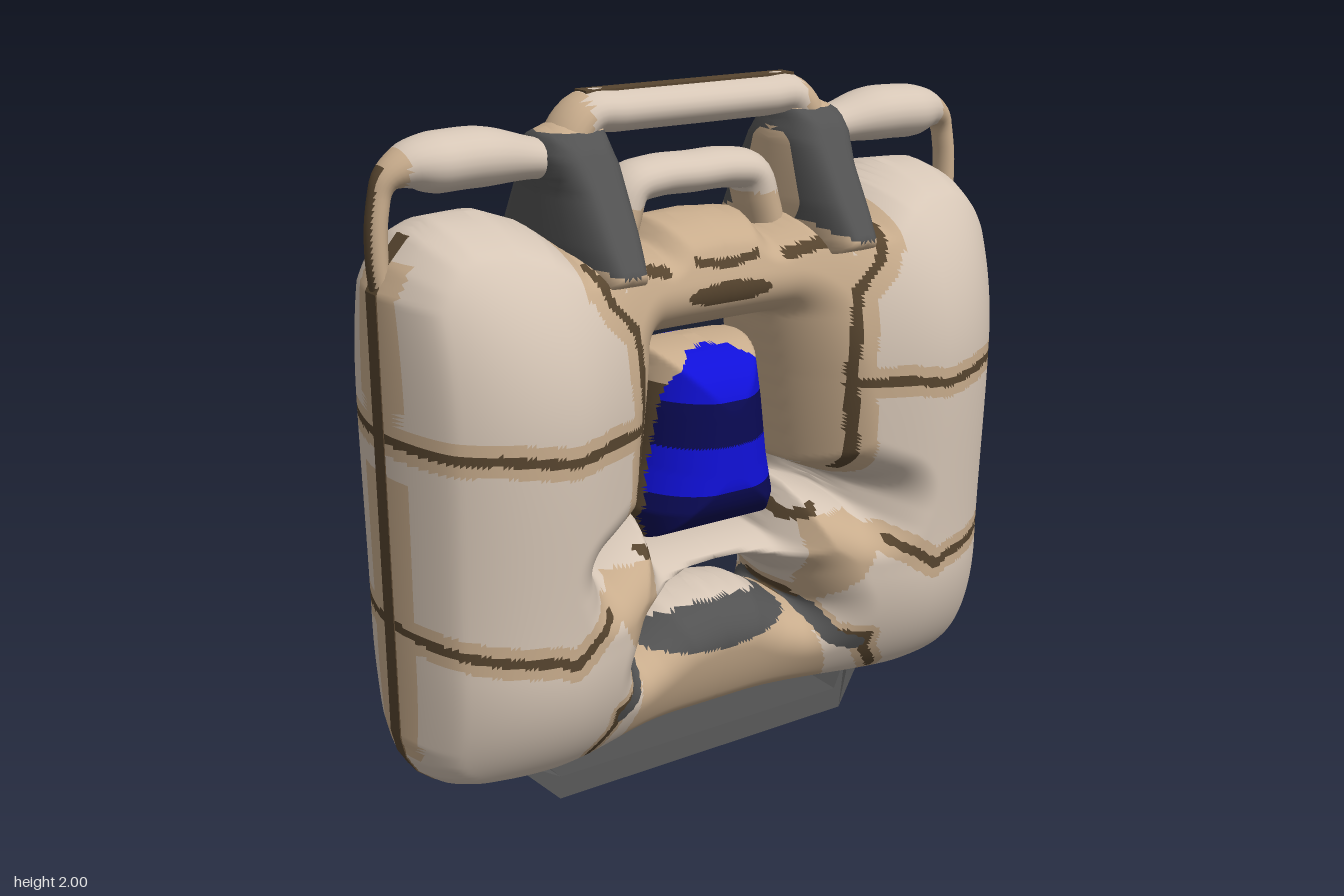
import * as THREE from 'three';
import { mergeVertices } from 'three/addons/utils/BufferGeometryUtils.js';

const palette = [['beige', 0xd6c6b6], ['tan', 0xc8ac8c], ['brown', 0x57452f], ['darkGrey', 0x525252],
  ['blue', 0x1010d8], ['navy', 0x0a0a55]];
const [BEIGE, TAN, BROWN, GREY, BLUE, NAVY] = [0, 1, 2, 3, 4, 5];
const materials = palette.map(([name, color]) => {
  const m = new THREE.MeshStandardMaterial({ color });
  m.name = name;
  return m;
});

// ---- distance helpers ----
function segDist(x, y, [ax, ay], [bx, by]) {
  const dx = bx - ax, dy = by - ay;
  const t = Math.min(1, Math.max(0, ((x - ax) * dx + (y - ay) * dy) / (dx * dx + dy * dy)));
  return Math.hypot(x - ax - dx * t, y - ay - dy * t);
}
function lineDist(x, y, pts) {
  let d = 9;
  for (let i = 1; i < pts.length; i++) d = Math.min(d, segDist(x, y, pts[i - 1], pts[i]));
  return d;
}
// signed distance to a closed polygon, positive inside
function polyDist(x, y, pts) {
  let inside = false;
  for (let i = 0, j = pts.length - 1; i < pts.length; j = i++) {
    const [ax, ay] = pts[i], [bx, by] = pts[j];
    if ((ay > y) !== (by > y) && x < ((bx - ax) * (y - ay)) / (by - ay) + ax) inside = !inside;
  }
  const d = lineDist(x, y, [...pts, pts[0]]);
  return inside ? d : -d;
}
// closes a half outline by mirroring it over x = 0
const mirrored = half => [...half, ...half.filter(p => p[0] > 0).reverse().map(([x, y]) => [-x, y])];
const smooth = THREE.MathUtils.smoothstep;

// ---- mesh helpers ----
// tris: arrays of three [x,y,z]; paint(x,y,z) picks the colour of each face
function paintedMesh(name, tris, paint) {
  const buckets = materials.map(() => []);
  for (const t of tris) {
    const c = [0, 1, 2].map(k => (t[0][k] + t[1][k] + t[2][k]) / 3);
    buckets[paint(...c)].push(...t.flat());
  }
  let geo = new THREE.BufferGeometry();
  geo.setAttribute('position', new THREE.Float32BufferAttribute(buckets.flat(), 3));
  let start = 0;
  buckets.forEach((b, i) => {
    if (b.length) geo.addGroup(start, b.length / 3, i);
    start += b.length / 3;
  });
  geo = mergeVertices(geo, 1e-4);
  geo.computeVertexNormals();
  const mesh = new THREE.Mesh(geo, materials);
  mesh.name = name;
  return mesh;
}
// pillow shape: a flat outline swollen towards +z and -z, rounded over radius r at its rim
function inflate(name, [x0, x1, y0, y1], step, sdf, depth, r, paint) {
  const nx = Math.ceil((x1 - x0) / step), ny = Math.ceil((y1 - y0) / step), grid = [], tris = [];
  for (let j = 0; j <= ny; j++) for (let i = 0; i <= nx; i++) {
    const x = x0 + ((x1 - x0) * i) / nx, y = y0 + ((y1 - y0) * j) / ny, d = sdf(x, y);
    const f = 1 - Math.min(1, Math.max(0, d) / r);
    grid.push({ d, p: [x, y, d > 0 ? depth(x, y) * Math.sqrt(1 - f * f) : 0] });
  }
  const clip = tri => {
    const out = [];
    tri.forEach((a, i) => {
      const b = tri[(i + 1) % 3];
      if (a.d > 0) out.push(a.p);
      if ((a.d > 0) !== (b.d > 0)) {
        const t = a.d / (a.d - b.d);
        out.push([a.p[0] + (b.p[0] - a.p[0]) * t, a.p[1] + (b.p[1] - a.p[1]) * t, 0]);
      }
    });
    for (let k = 2; k < out.length; k++) {
      const t = [out[0], out[k - 1], out[k]];
      tris.push(t, t.map(([x, y, z]) => [x, y, -z]).reverse());
    }
  };
  for (let j = 0; j < ny; j++) for (let i = 0; i < nx; i++) {
    const q = j * (nx + 1) + i, [a, b, c, d] = [q, q + 1, q + nx + 2, q + nx + 1].map(k => grid[k]);
    if (i < nx / 2) { clip([a, b, c]); clip([a, c, d]); } else { clip([a, b, d]); clip([b, c, d]); }
  }
  return paintedMesh(name, tris, paint);
}
// round grip along a path, with a radius rule and a stretch in z
function grip(name, pts, radius, zScale, paint) {
  const curve = new THREE.CatmullRomCurve3(pts.map(([x, y]) => new THREE.Vector3(x, y, 0)), false, 'centripetal');
  const n = 56, m = 24, geo = new THREE.TubeGeometry(curve, n, 1, m), pos = geo.attributes.position;
  const v = new THREE.Vector3();
  for (let i = 0; i < pos.count; i++) {
    const t = Math.floor(i / (m + 1)) / n, c = curve.getPointAt(t);
    v.fromBufferAttribute(pos, i).sub(c).multiplyScalar(radius(t)).add(c);
    pos.setXYZ(i, v.x, v.y, v.z * zScale);
  }
  const p = geo.toNonIndexed().attributes.position, tris = [];
  for (let i = 0; i < p.count; i += 3) tris.push([0, 1, 2].map(k => [p.getX(i + k), p.getY(i + k), p.getZ(i + k)]));
  return paintedMesh(name, tris, paint);
}
// flat outline extruded evenly to both sides of z = 0
function slab(name, pts, half, material) {
  const shape = new THREE.Shape(pts.map(([x, y]) => new THREE.Vector2(x, y)));
  const geo = new THREE.ExtrudeGeometry(shape, { depth: 2 * half, bevelEnabled: false }).translate(0, 0, -half);
  const mesh = new THREE.Mesh(geo, material);
  mesh.name = name;
  return mesh;
}

// ---- outlines ----
const sideRim = [[0.81, 0.13], [0.87, 0.145], [0.92, 0.185], [0.95, 0.235], [0.965, 0.3], [0.965, 1.54], [0.93, 1.61], [0.87, 1.68]];
const bodyOutline = mirrored([[0, 0.13], ...sideRim, [0.8, 1.715], [0.66, 1.72], [0.55, 1.68], [0.47, 1.62],
  [0.28, 1.62], [0.18, 1.585], [0.14, 1.64], [0, 1.65]]);
const windowHole = mirrored([[0, 1.33], [0.21, 1.33], [0.24, 1.15], [0.28, 0.87], [0.455, 0.79], [0.44, 0.75],
  [0.25, 0.835], [0.215, 0.76], [0.19, 0.68], [0, 0.68]]);
const lowerHole = mirrored([[0, 0.61], [0.09, 0.606], [0.17, 0.58], [0.25, 0.525], [0.29, 0.44], [0.25, 0.455],
  [0.15, 0.515], [0, 0.54]]);
const insertOutline = mirrored([[0, 1.285], [0.165, 1.28], [0.19, 1.12], [0.21, 0.95], [0.235, 0.82], [0.2, 0.72], [0, 0.72]]);
const blueOutline = mirrored([[0, 1.276], [0.07, 1.267], [0.12, 1.24], [0.15, 1.2], [0.167, 1.145], [0.187, 1.015],
  [0.205, 0.9], [0.22, 0.8], [0.19, 0.725], [0, 0.725]]);
const strapOutline = [[0.3, 1.5], [0.46, 1.5], [0.475, 1.56], [0.48, 1.62], [0.48, 1.75], [0.495, 1.84], [0.48, 1.9],
  [0.42, 1.925], [0.3, 1.92], [0.275, 1.82], [0.275, 1.65], [0.285, 1.55]];

// ---- body form and seams ----
// the rims of the openings are rounded twice as widely as the outer rim
const bodySdf = (x, y) => Math.min(polyDist(x, y, bodyOutline),
  -0.5 * polyDist(x, y, windowHole), -0.5 * polyDist(x, y, lowerHole));
function bodyDepth(x, y) {
  const a = Math.abs(x);
  const across = a > 0.6 ? Math.sqrt(1 - ((a - 0.6) / 0.4) ** 2) : 0.58 + 0.42 * smooth(a, 0.12, 0.62);
  const k = y < 0.55 ? (0.55 - y) / 0.45 : y > 1.2 ? (y - 1.2) / 0.55 : 0;
  return (0.4 + 0.025 * smooth(y, 0.55, 1.2)) * across * Math.sqrt(Math.max(0.05, 1 - k * k));
}
const seams = [
  [[1, 1.16], [0.8, 1.165], [0.62, 1.14], [0.5, 1.16], [0.35, 1.155]],
  [[1, 0.64], [0.8, 0.605], [0.66, 0.59], [0.62, 0.57], [0.55, 0.62], [0.48, 0.66]],
  [[0.47, 1.58], [0.44, 1.5], [0.365, 1.42], [0.35, 1.2], [0.37, 0.88]],
  [[0.2, 1.53], [0.3, 1.555], [0.45, 1.555]],
  [[0.28, 0.46], [0.35, 0.36], [0.44, 0.35], [0.44, 0.3], [0.5, 0.22]],
  [[0.215, 0.78], [0.235, 0.73], [0.3, 0.76]],
];
const knot = [[0.31, 0.42], [0.35, 0.345], [0.41, 0.325]];
const armPatch = [[0.25, 0.74], [0.42, 0.73], [0.46, 0.67], [0.4, 0.55], [0.31, 0.43], [0.28, 0.52]];
function bodyPaint(x, y, z) {
  const a = Math.abs(x), side = Math.abs(z), dist = seams.map(s => lineDist(a, y, s));
  // belly panel with its pad
  if (((x / 0.34) ** 2 + ((y - 0.36) / 0.15) ** 2 < 1) && y > 0.39 + 0.6 * a * a && a < 0.25) return GREY;
  if (lineDist(a, y, knot) < 0.024) return GREY;
  if (a < 0.38 && y > 0.148 && y < 0.163) return BROWN;
  if (y > 0.15 && y < 0.44 && a < 0.38 - (y - 0.15) * 0.36) return TAN;
  // chest marks
  if (Math.hypot(x / 0.14, (y - 1.45) / 0.032) < 1) return BROWN;
  if (a < 0.11 && Math.abs(y - 1.53 - a * a * 1.5) < 0.012) return BROWN;
  if (Math.min(...dist) < 0.014) return BROWN;
  // tan edging beside the seams and the inner walls
  if (dist[0] < 0.045 || dist[1] < 0.045 || dist[2] < 0.055 || dist[4] < 0.035) return TAN;
  if (y > 0.87 && a < 0.37 || y > 1.52 && a < 0.52) return TAN;
  if (polyDist(a, y, armPatch) > 0) return TAN;
  if (a > 0.85 && side < 0.11 && y > 0.25 && y < 1.62 && Math.abs(y - 1.12) > 0.06) return TAN;
  return BEIGE;
}

export function createModel() {
  const model = new THREE.Group();
  model.name = 'inflatedFrame';

  model.add(inflate('body', [-0.98, 0.98, 0.11, 1.74], 0.0107, bodySdf, bodyDepth, 0.08, bodyPaint));

  // domed striped insert in the window, alike on both faces
  model.add(inflate('windowInsert', [-0.25, 0.25, 0.7, 1.3], 0.0078, (x, y) => polyDist(x, y, insertOutline),
    () => 0.24, 0.19, (x, y) => polyDist(x, y, blueOutline) < 0 ? (y > 1.19 ? TAN : BROWN)
      : (y > 1.145 || (y > 0.88 && y < 1.015) ? BLUE : NAVY)));

  // top carry handle with its seam, and the grip below it
  model.add(grip('topHandle', [[-0.4, 1.76], [-0.39, 1.87], [-0.33, 1.938], [-0.24, 1.94], [0, 1.94], [0.24, 1.94],
    [0.33, 1.938], [0.39, 1.87], [0.4, 1.76]], () => 0.058, 1.5, x => Math.abs(x) > 0.35 ? TAN : BEIGE));
  model.add(slab('topSeam', [[-0.34, 1.992], [0.34, 1.992], [0.34, 2], [-0.34, 2]], 0.03, materials[BROWN]));
  model.add(grip('lowerHandle', [[-0.27, 1.52], [-0.235, 1.64], [-0.2, 1.73], [-0.12, 1.75], [0, 1.75], [0.12, 1.75],
    [0.2, 1.73], [0.235, 1.64], [0.27, 1.52]], () => 0.057, 1.5, (x, y) => y < 1.68 ? TAN : BEIGE));

  for (const s of [1, -1]) {
    const sideName = s > 0 ? 'left' : 'right';
    // shoulder straps
    const [lo, hi] = s > 0 ? [0.26, 0.51] : [-0.51, -0.26];
    model.add(inflate(sideName + 'Strap', [lo, hi, 1.48, 1.94], 0.0125, (x, y) => polyDist(x * s, y, strapOutline),
      (x, y) => 0.345 - (y - 1.53) * 0.62, 0.07,
      (x, y) => y > 1.56 + 5 * (x * s - 0.385) ** 2 && y < 1.9 && x * s > 0.283 ? GREY : TAN));
    // shoulder handles, full along the top and thin down the outer leg
    model.add(grip(sideName + 'Handle', [[0.42, 1.825], [0.52, 1.84], [0.65, 1.855], [0.77, 1.853], [0.85, 1.85],
      [0.91, 1.82], [0.935, 1.74], [0.942, 1.62], [0.93, 1.5]].map(([x, y]) => [x * s, y]),
    t => 0.053 + 0.025 * smooth(t, 0.05, 0.3) - 0.05 * smooth(t, 0.42, 0.66), 1.35,
    (x, y, z) => Math.abs(x) < 0.87 ? BEIGE : Math.abs(z) < 0.022 && Math.abs(x) > 0.925 ? BROWN : TAN));
    // raised seam round the outer rim
    const rim = sideRim.map(([x, y]) => [x * s, y]);
    const inner = sideRim.map(([x, y]) => [(x - 0.007) * s, y + (y < 0.25 ? 0.006 : 0)]).reverse();
    model.add(slab(sideName + 'RimSeam', [...rim, ...inner], 0.03, materials[BROWN]));
  }

  // base bar with upturned ends that narrow as they rise
  const bar = slab('baseBar', mirrored([[0, 0], [0.51, 0], [0.65, 0.14], [0.61, 0.2], [0.575, 0.13], [0.5, 0.062], [0, 0.062]]),
    0.1, materials[GREY]);
  const p = bar.geometry.attributes.position;
  for (let i = 0; i < p.count; i++) p.setZ(i, p.getZ(i) * (1 - 0.55 * smooth(p.getY(i), 0.03, 0.13)));
  bar.geometry.computeVertexNormals();
  model.add(bar);
  return model;
}
